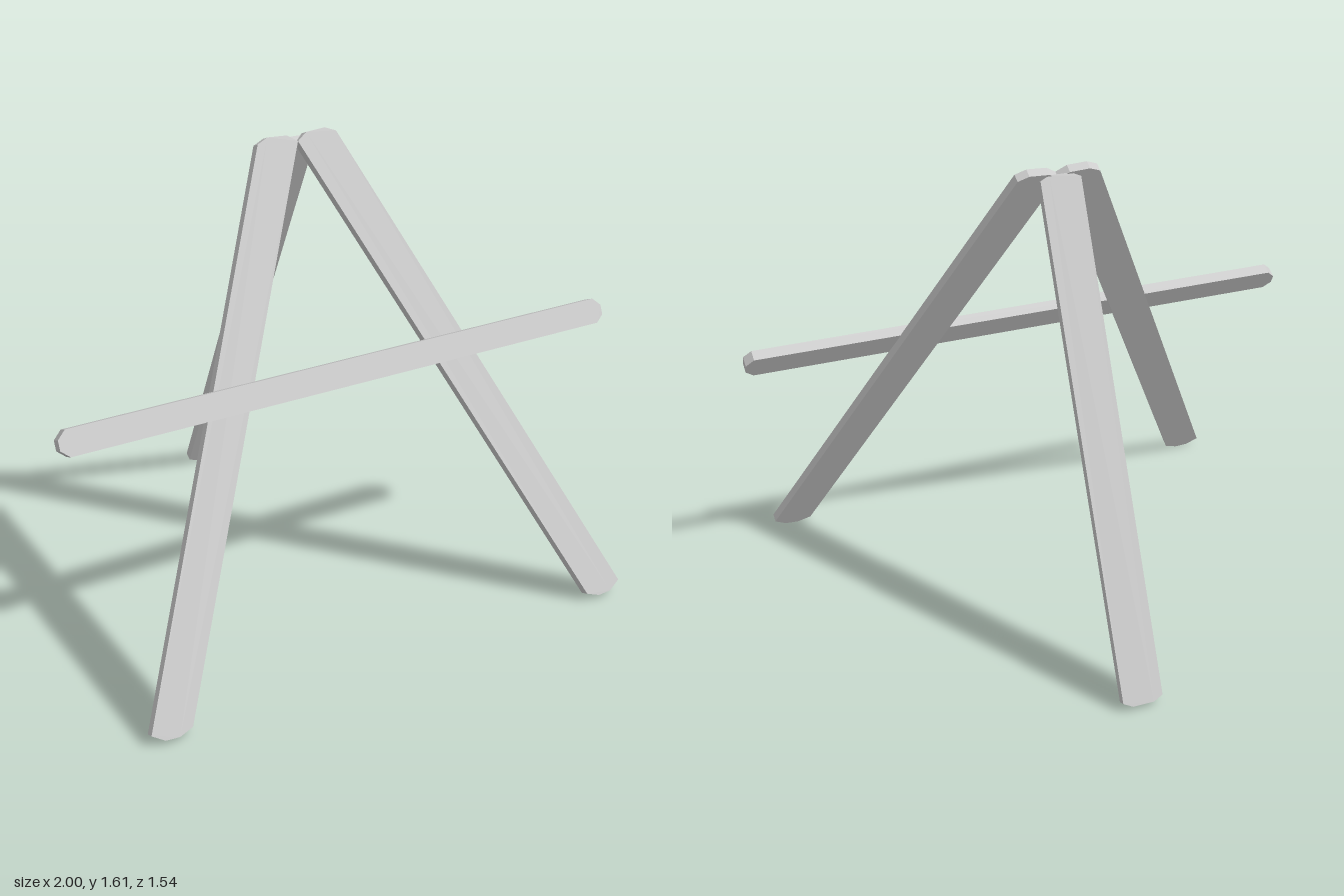
import * as THREE from 'three';

const material = new THREE.MeshStandardMaterial({ color: 0xcccccc, flatShading: true });

// A flat board leaning back: the outline gives the x and height of its outer face,
// slope is the run per unit of height and footZ where that face meets the ground.
function board(name, outline, thickness, slope, footZ) {
  const lean = Math.atan(slope);
  const shape = new THREE.Shape(
    outline.map(([x, y]) => new THREE.Vector2(x, y / Math.cos(lean)))
  );
  const geometry = new THREE.ExtrudeGeometry(shape, { depth: thickness, bevelEnabled: false });
  geometry.translate(0, 0, -thickness);
  geometry.rotateX(-lean);
  geometry.translate(0, 0, footZ);
  const mesh = new THREE.Mesh(geometry, material);
  mesh.name = name;
  return mesh;
}

export function createModel() {
  const group = new THREE.Group();
  group.name = 'easel';

  // Two splayed front legs with clipped round ends
  const frontOutline = [
    [0.0, 1.587], [0.035, 1.609], [0.104, 1.613], [0.142, 1.598],
    [0.89, 0.046], [0.848, 0.021], [0.8, 0.018], [0.753, 0.034]
  ];
  for (const side of [1, -1]) {
    group.add(board(
      side > 0 ? 'leftFrontLeg' : 'rightFrontLeg',
      frontOutline.map(([x, y]) => [x * side, y]), 0.033, 0.466, 0.78
    ));
  }

  // Single back leg, leaning the other way
  const backOutline = [
    [-0.067, 1.578], [-0.035, 1.592], [0.04, 1.592], [0.073, 1.578],
    [0.073, 0.036], [0.04, 0.021], [-0.035, 0.021], [-0.067, 0.036]
  ];
  const backLeg = board('backLeg', backOutline, 0.031, 0.49, 0.775);
  backLeg.rotation.y = Math.PI;
  group.add(backLeg);

  // Cross bar resting on the front legs, very slightly askew
  const barOutline = [
    [-1, 0.932], [-0.972, 0.956], [0.972, 0.956], [1, 0.932],
    [1, 0.902], [0.972, 0.88], [-0.972, 0.88], [-1, 0.902]
  ];
  const bar = board('crossBar', barOutline, 0.041, 0.5, 0.858);
  bar.rotation.set(0, 0.005, -0.002);
  group.add(bar);

  return group;
}
